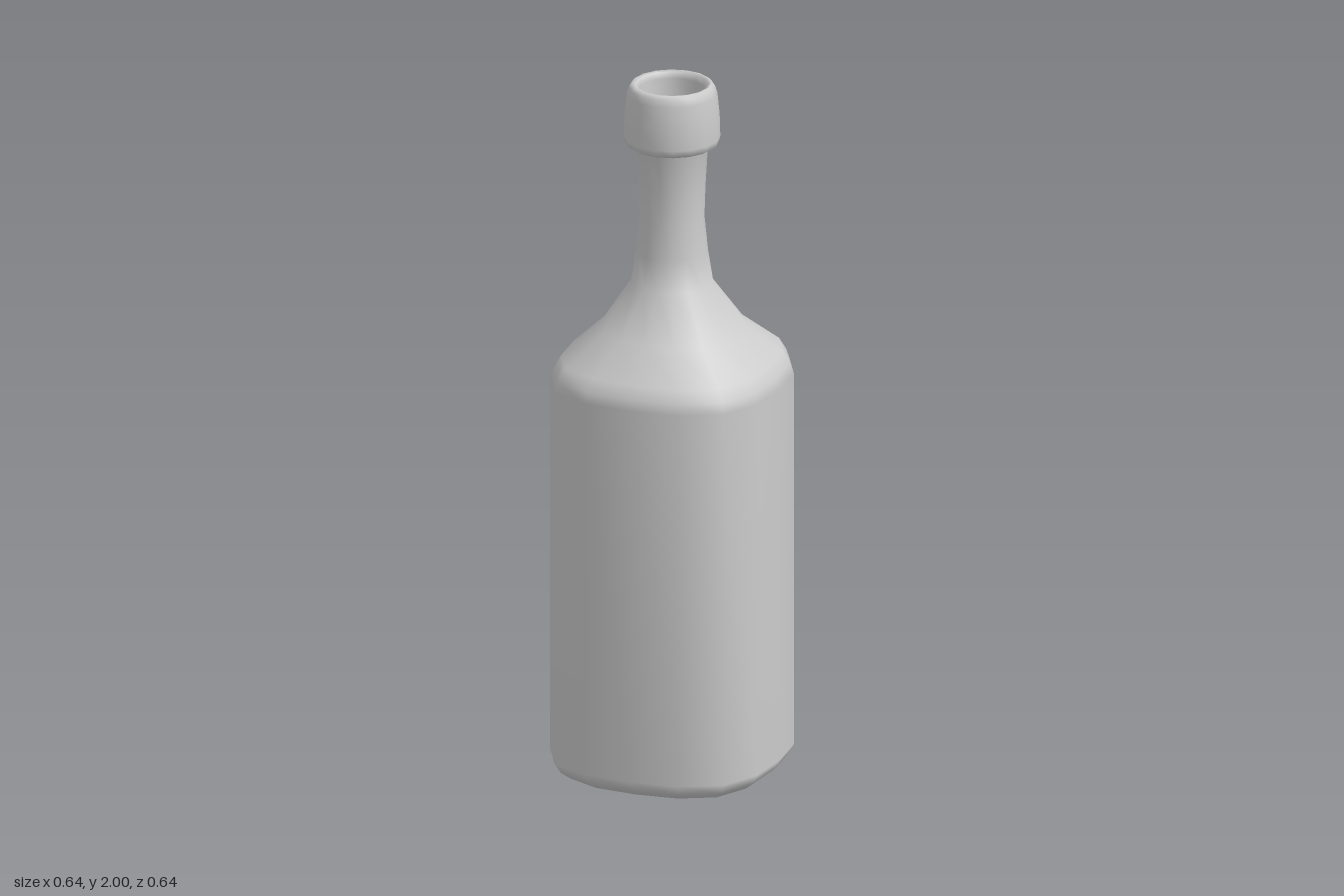
import * as THREE from 'three';
import { mergeVertices } from 'three/addons/utils/BufferGeometryUtils.js';

const SIDES = 16;

// Profile rows: [radius, height, squareness of the cross-section]
const PROFILE = [
  // hollow underside
  [0, 0.06, 1], [0.12, 0.05, 1], [0.22, 0.02, 1], [0.26, 0.0, 1],
  // body
  [0.278, 0.0, 1], [0.303, 0.02, 1], [0.32, 0.05, 1], [0.32, 1.14, 1],
  // shoulder
  [0.31, 1.17, 1], [0.292, 1.205, 0.95], [0.2, 1.29, 0.5], [0.114, 1.42, 0],
  // neck
  [0.1, 1.51, 0], [0.09, 1.61, 0], [0.093, 1.7, 0], [0.1, 1.82, 0],
  // lip
  [0.118, 1.82, 0], [0.131, 1.828, 0], [0.134, 1.845, 0], [0.132, 1.91, 0],
  [0.126, 1.97, 0], [0.12, 1.99, 0], [0.111, 2.0, 0], [0.1, 1.997, 0],
  // inside of the mouth
  [0.093, 1.98, 0], [0.09, 1.85, 0], [0.075, 1.79, 0], [0, 1.77, 0],
];

// Turned 16-sided profile whose rings are pushed towards a rounded square
function squaredLathe(rows) {
  const points = rows.map(([r, y]) => new THREE.Vector2(r, y));
  const lathe = new THREE.LatheGeometry(points, SIDES);
  const pos = lathe.attributes.position;
  for (let i = 0; i < pos.count; i++) {
    const [radius, y, square] = rows[i % rows.length];
    const a = (Math.floor(i / rows.length) % SIDES) / SIDES * Math.PI * 2;
    const r = radius * (1 + 0.1125 * square * Math.sin(2 * a) ** 2);
    const turned = a + 0.034 * square * Math.sin(4 * a);
    pos.setXYZ(i, r * Math.sin(turned), y, r * Math.cos(turned));
  }
  // weld the seam so the shading is continuous
  lathe.deleteAttribute('normal');
  lathe.deleteAttribute('uv');
  const welded = mergeVertices(lathe, 1e-4);
  welded.computeVertexNormals();
  return welded;
}

export function createModel() {
  const group = new THREE.Group();
  group.name = 'bottle';
  const material = new THREE.MeshStandardMaterial({ color: 0xcccccc });
  const bottle = new THREE.Mesh(squaredLathe(PROFILE), material);
  bottle.name = 'bottleShell';
  group.add(bottle);
  return group;
}
